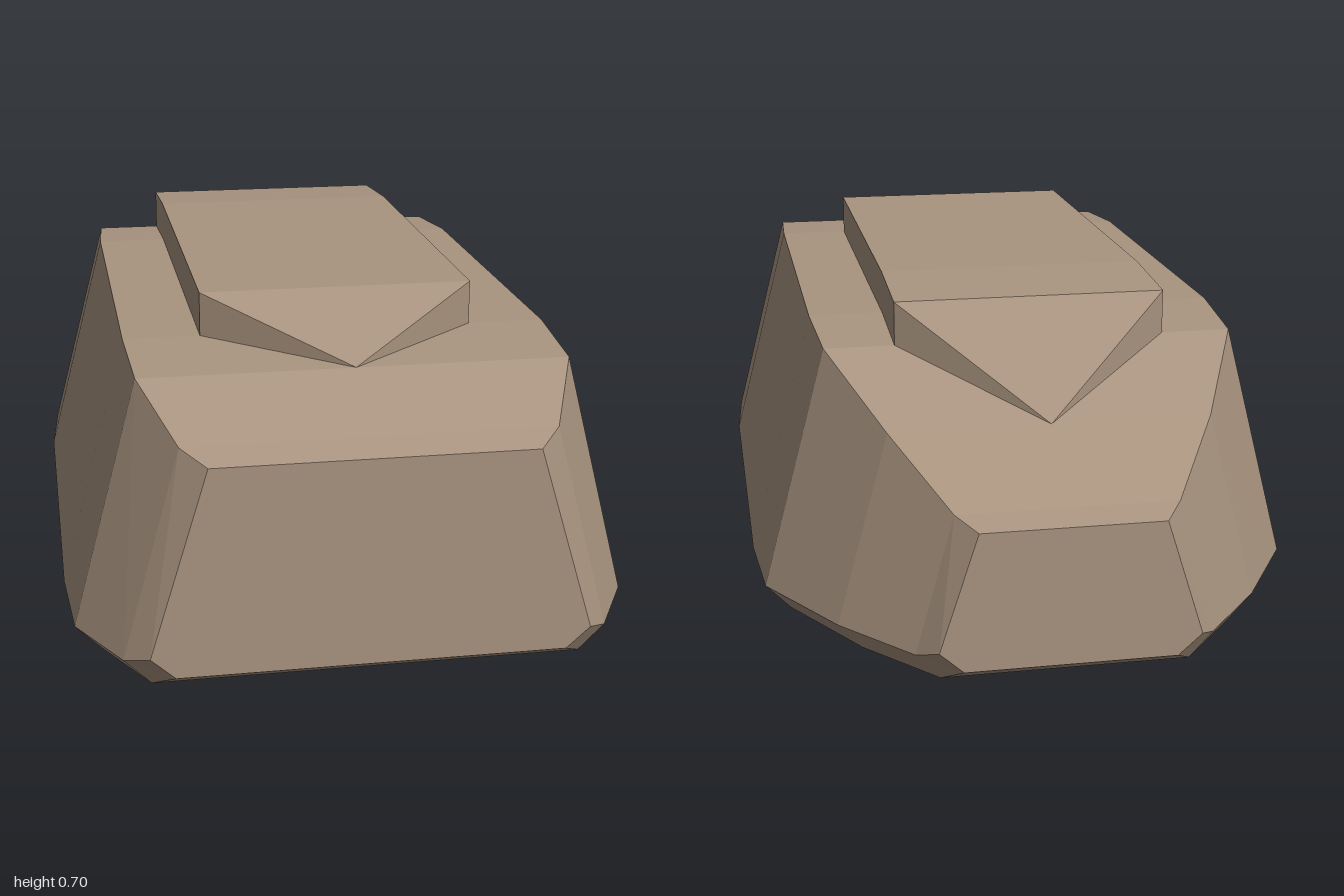
import * as THREE from 'three';

// Skin a list of equal-length rings (front to back, counter-clockwise seen from +z)
function loft(rings) {
  const pos = [];
  const tri = (a, b, c) => {
    const area = b.clone().sub(a).cross(c.clone().sub(a)).length();
    if (area > 1e-7) for (const p of [a, b, c]) pos.push(p.x, p.y, p.z);
  };
  const n = rings[0].length;
  for (let i = 0; i < rings.length - 1; i++) {
    const f = rings[i], r = rings[i + 1];
    for (let j = 0; j < n; j++) {
      const k = (j + 1) % n;
      tri(f[j], r[j], f[k]);
      tri(f[k], r[j], r[k]);
    }
  }
  // end caps
  const first = rings[0], last = rings[rings.length - 1];
  for (let j = 1; j < n - 1; j++) {
    tri(first[0], first[j], first[j + 1]);
    tri(last[0], last[j + 1], last[j]);
  }
  const g = new THREE.BufferGeometry();
  g.setAttribute('position', new THREE.Float32BufferAttribute(pos, 3));
  g.computeVertexNormals();
  return g;
}

// Mirror a right-hand half profile [[x, y], ...] (bottom to top) into a full ring
function ring(z, half) {
  const right = half.map(([x, y]) => new THREE.Vector3(x, y, z));
  const left = half.map(([x, y]) => new THREE.Vector3(-x, y, z)).reverse();
  return [...right, ...left];
}

export function createModel() {
  const group = new THREE.Group();
  const material = new THREE.MeshStandardMaterial({ color: 0xa8937f, flatShading: true });
  const add = (name, rings) => {
    const mesh = new THREE.Mesh(loft(rings), material);
    mesh.name = name;
    group.add(mesh);
  };

  // Hull: z, bottom half width, bottom y, widest half width, its y, top half width, top y
  const hull = [
    [1, 0.4, 0.035, 0.45, 0.08, 0.33, 0.475],
    [0.945, 0.445, 0, 0.5, 0.055, 0.38, 0.5],
    [0.78, 0.535, 0, 0.59, 0.055, 0.45, 0.59],
    [0.555, 0.55, 0, 0.605, 0.055, 0.46, 0.605],
    [-0.335, 0.55, 0, 0.605, 0.055, 0.46, 0.605],
    [-0.555, 0.535, 0, 0.588, 0.055, 0.447, 0.59],
    [-0.78, 0.4, 0, 0.45, 0.055, 0.34, 0.47],
    [-0.945, 0.26, 0, 0.31, 0.055, 0.23, 0.35],
    [-1, 0.22, 0.035, 0.27, 0.08, 0.19, 0.33],
  ];
  add('hull', hull.map(([z, b, yb, w, yw, t, yt]) => ring(z, [[b, yb], [w, yw], [t, yt]])));

  // Raised roof block tapering to a point at both ends: z, half width, base y, top y
  const roof = [
    [0.78, 0, 0.59, 0.59],
    [0.555, 0.295, 0.59, 0.7],
    [-0.335, 0.295, 0.59, 0.7],
    [-0.555, 0.295, 0.575, 0.685],
    [-0.78, 0, 0.47, 0.47],
  ];
  add('roofBlock', roof.map(([z, w, y0, y1]) => ring(z, [[w, y0], [w, y1]])));

  return group;
}
